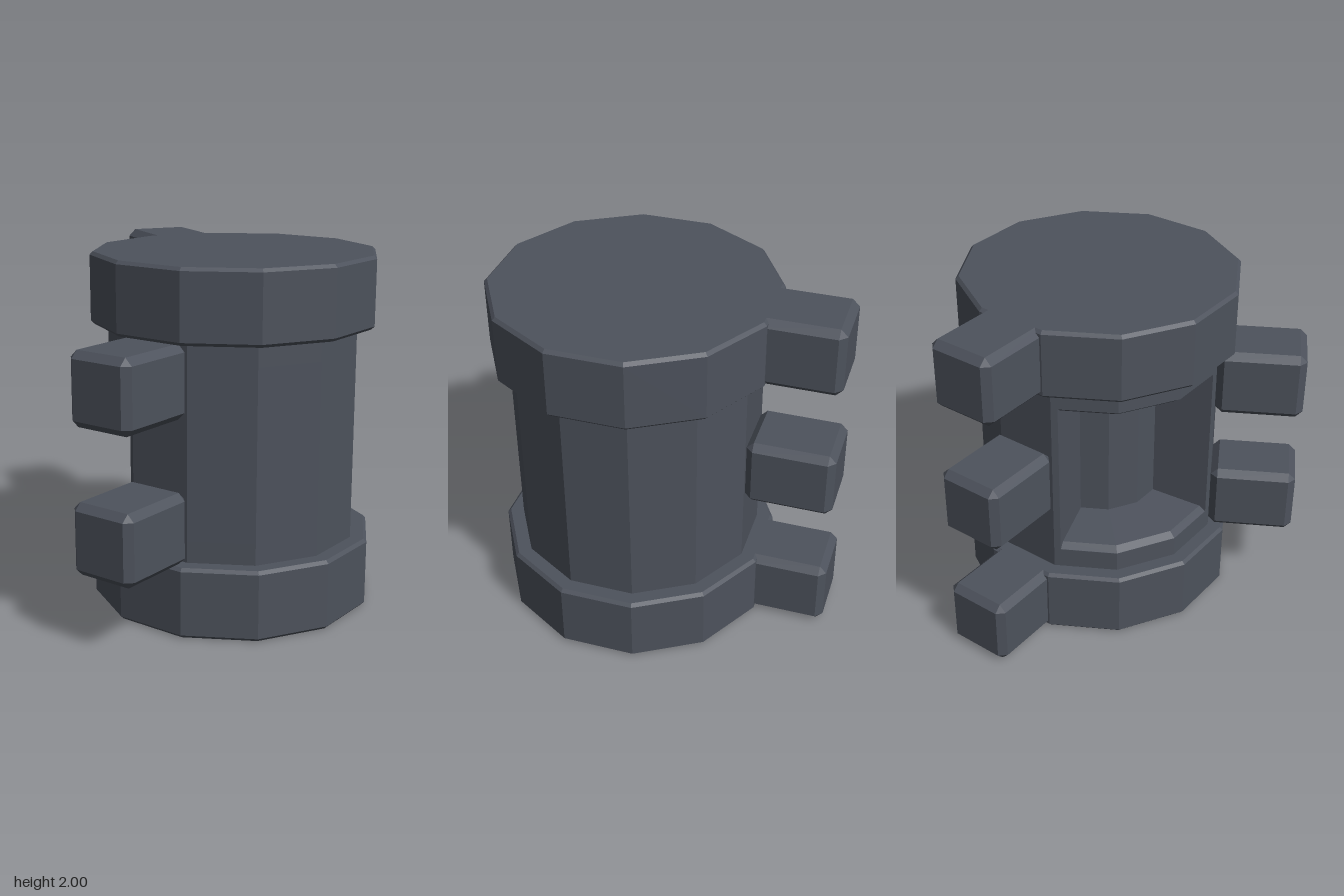
import * as THREE from 'three';
import { ConvexGeometry } from 'three/addons/geometries/ConvexGeometry.js';

const rad = THREE.MathUtils.degToRad;
const SIDES = 12;
const COLUMN_R = 0.709, CORE_R = 0.36, COLLAR_R = 0.805;
const WINDOW = [18, 102]; // degrees, from the back (-z) round towards -x

export function createModel() {
  const material = new THREE.MeshStandardMaterial({ color: 0x4d525c, flatShading: true, side: THREE.DoubleSide });
  const model = new THREE.Group();
  model.name = 'studdedDrum';
  const drum = new THREE.Group();
  drum.name = 'drum';
  drum.position.set(0.157, 0, 0.203);
  model.add(drum);

  const add = (name, geometry, y = 0, turn = 0) => {
    const mesh = new THREE.Mesh(geometry, material);
    mesh.name = name;
    mesh.position.y = y;
    mesh.rotation.y = turn;
    drum.add(mesh);
    return mesh;
  };
  const lathe = (points, start, segments) => new THREE.LatheGeometry(
    points.map(([r, y]) => new THREE.Vector2(r, y)), segments, rad(start), rad(segments * 30)).toNonIndexed();

  // Twelve-sided collars with a fine bevel on both rims
  const b = 0.018;
  const collar = lathe([[0, 0], [COLLAR_R - b, 0], [COLLAR_R, b], [COLLAR_R, 0.4 - b], [COLLAR_R - b, 0.4], [0, 0.4]], 15, SIDES);
  collar.computeVertexNormals();
  add('bottomCollar', collar, 0);
  add('topCollar', collar, 1.6);

  // Solid column ends above and below the window
  for (const [name, y] of [['columnBase', 0.45], ['columnHead', 1.55]]) {
    add(name, new THREE.CylinderGeometry(COLUMN_R, COLUMN_R, 0.14, SIDES, 1, false, rad(15)), y);
  }

  // Point on a twelve-sided outline at an angle, in plan (x, -z)
  const onOutline = (r, deg) => {
    const off = ((deg + 15) % 30) - 15;
    const d = r * Math.cos(rad(15)) / Math.cos(rad(off));
    return new THREE.Vector2(-d * Math.sin(rad(deg)), d * Math.cos(rad(deg)));
  };
  // Column wall: round the outside, then back across the window along the core
  const plan = [onOutline(COLUMN_R, WINDOW[1])];
  for (let a = 105; a <= 375; a += 30) plan.push(onOutline(COLUMN_R, a));
  plan.push(onOutline(COLUMN_R, WINDOW[0]));
  for (const a of [WINDOW[0], 45, 75, WINDOW[1]]) plan.push(onOutline(CORE_R, a));
  const wall = new THREE.ExtrudeGeometry(new THREE.Shape(plan), { depth: 0.96, bevelEnabled: false });
  wall.rotateX(-Math.PI / 2);
  add('columnWall', wall, 0.52);

  // Sloping sill and lintel of the window
  const sill = lathe([[CORE_R - 0.01, 0], [COLUMN_R - 0.002, 0], [COLUMN_R - 0.04, 0.03], [CORE_R - 0.01, 0.06]], 195, 3);
  sill.computeVertexNormals();
  add('windowSill', sill, 0.52);
  add('windowLintel', sill, 1.48).scale.y = -1;

  // Studs: blocks chamfered on every edge
  const half = [0.198, 0.2, 0.25], c = 0.04, corners = [];
  for (const sx of [-1, 1]) for (const sy of [-1, 1]) for (const sz of [-1, 1]) {
    for (let full = 0; full < 3; full++) {
      const p = [sx, sy, sz].map((s, i) => s * (half[i] - (i === full ? 0 : c)));
      corners.push(new THREE.Vector3(...p));
    }
  }
  const studGeometry = new ConvexGeometry(corners);
  studGeometry.translate(0, 0, -0.935);
  for (const y of [0.2, 1, 1.8]) add('backStud', studGeometry, y);
  for (const y of [0.6, 1.4]) add('sideStud', studGeometry, y, rad(120));

  return model;
}
